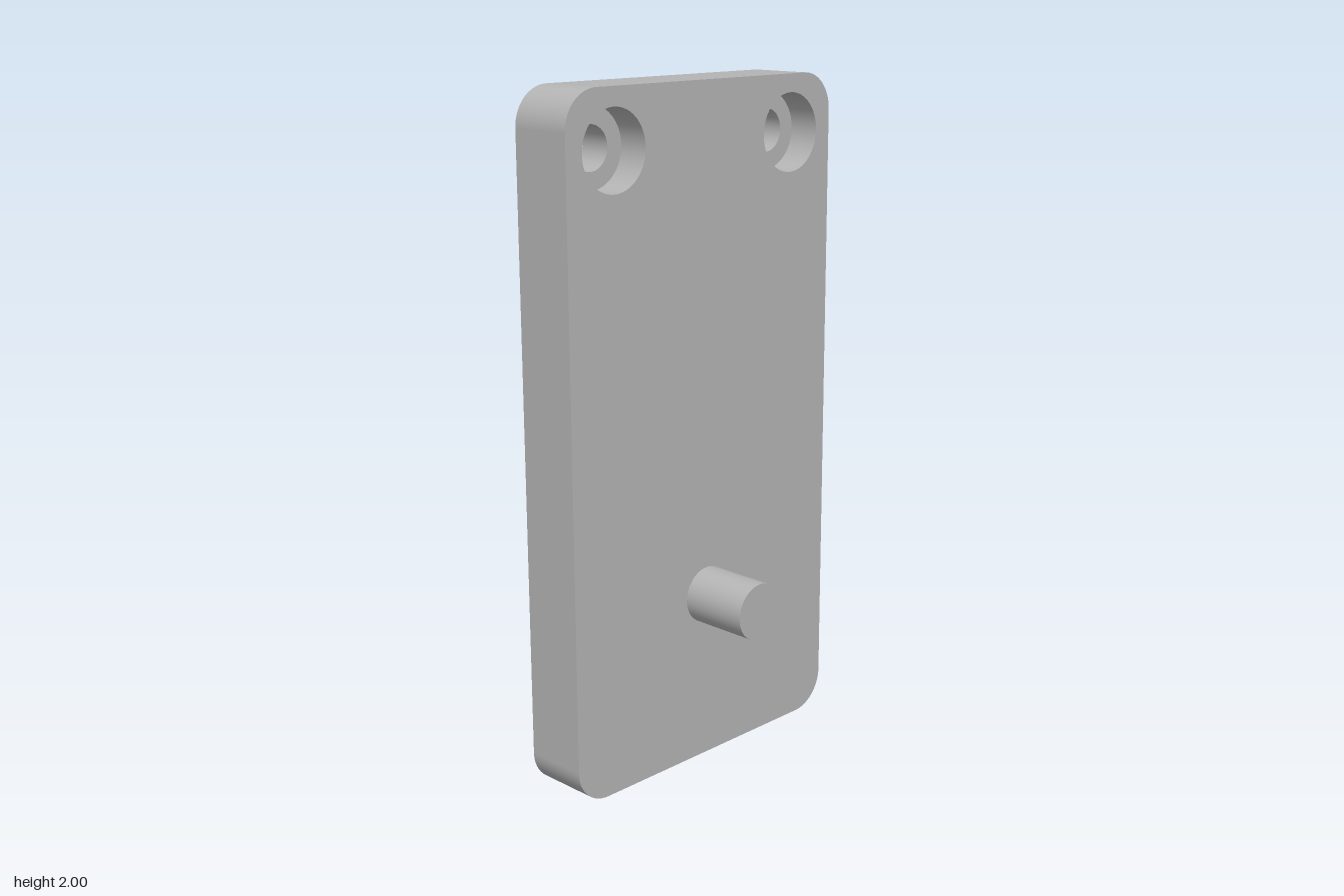
import * as THREE from 'three';

const HALF_W = 0.517, HEIGHT = 2, CORNER = 0.11;
const BACK = -0.2025, FRONT = -0.008, PEG_TIP = 0.2025;
const SCREW = { x: 0.347, y: 1.833, r: 0.063, headR: 0.114, floor: -0.103 };
const PEG = { y: 0.508, r: 0.084 };
const BORE = { r: 0.17, floor: -0.0825 };

export function createModel() {
  const group = new THREE.Group();
  const grey = new THREE.MeshStandardMaterial({ color: 0xb4b4b4, side: THREE.DoubleSide });
  grey.name = 'grey metal';

  const add = (name, geometry, x = 0, y = 0, z = 0) => {
    const mesh = new THREE.Mesh(geometry, grey);
    mesh.name = name;
    mesh.position.set(x, y, z);
    group.add(mesh);
  };

  // Open round wall along z
  const wall = (name, r, z0, z1, x, y) =>
    add(name, new THREE.CylinderGeometry(r, r, z1 - z0, 48, 1, true).rotateX(Math.PI / 2), x, y, (z0 + z1) / 2);

  // Rounded rectangle outline, with optional round holes [x, y, r]
  const outline = (holes = []) => {
    const shape = new THREE.Shape();
    const cx = HALF_W - CORNER, low = CORNER, high = HEIGHT - CORNER;
    [[cx, low], [cx, high], [-cx, high], [-cx, low]].forEach(([x, y], i) =>
      shape.absarc(x, y, CORNER, (i - 1) * Math.PI / 2, i * Math.PI / 2, false));
    for (const [x, y, r] of holes) {
      shape.holes.push(new THREE.Path().absarc(x, y, r, 0, Math.PI * 2, true));
    }
    return shape;
  };

  // Front and back faces of the plate
  const screws = (r) => [-1, 1].map((s) => [s * SCREW.x, SCREW.y, r]);
  add('plateFront', new THREE.ShapeGeometry(outline(screws(SCREW.headR)), 24), 0, 0, FRONT);
  const back = new THREE.ShapeGeometry(outline([...screws(SCREW.r), [0, PEG.y, BORE.r]]), 24);
  add('plateBack', back, 0, 0, BACK);

  // Edge of the plate: a strip bent around the outline
  const points = outline().getPoints(24).filter((p, i, all) => i === 0 || p.distanceTo(all[i - 1]) > 1e-5);
  if (points[0].distanceTo(points[points.length - 1]) > 1e-5) points.push(points[0].clone());
  const rim = new THREE.PlaneGeometry(1, 1, points.length - 1, 1);
  for (let i = 0; i < points.length; i++) {
    rim.attributes.position.setXYZ(i, points[i].x, points[i].y, FRONT);
    rim.attributes.position.setXYZ(i + points.length, points[i].x, points[i].y, BACK);
  }
  rim.computeVertexNormals();
  add('plateEdge', rim);

  // Counterbored screw holes
  for (const [side, s] of [['left', 1], ['right', -1]]) {
    const x = s * SCREW.x;
    wall(side + 'Counterbore', SCREW.headR, SCREW.floor, FRONT, x, SCREW.y);
    add(side + 'CounterboreFloor', new THREE.RingGeometry(SCREW.r, SCREW.headR, 48), x, SCREW.y, SCREW.floor);
    wall(side + 'ScrewHole', SCREW.r, BACK, SCREW.floor, x, SCREW.y);
  }

  // Blind bore in the back
  wall('backBore', BORE.r, BACK, BORE.floor, 0, PEG.y);
  add('backBoreFloor', new THREE.CircleGeometry(BORE.r, 48), 0, PEG.y, BORE.floor);

  // Peg on the front
  wall('peg', PEG.r, FRONT, PEG_TIP, 0, PEG.y);
  add('pegTip', new THREE.CircleGeometry(PEG.r, 48), 0, PEG.y, PEG_TIP);

  return group;
}
